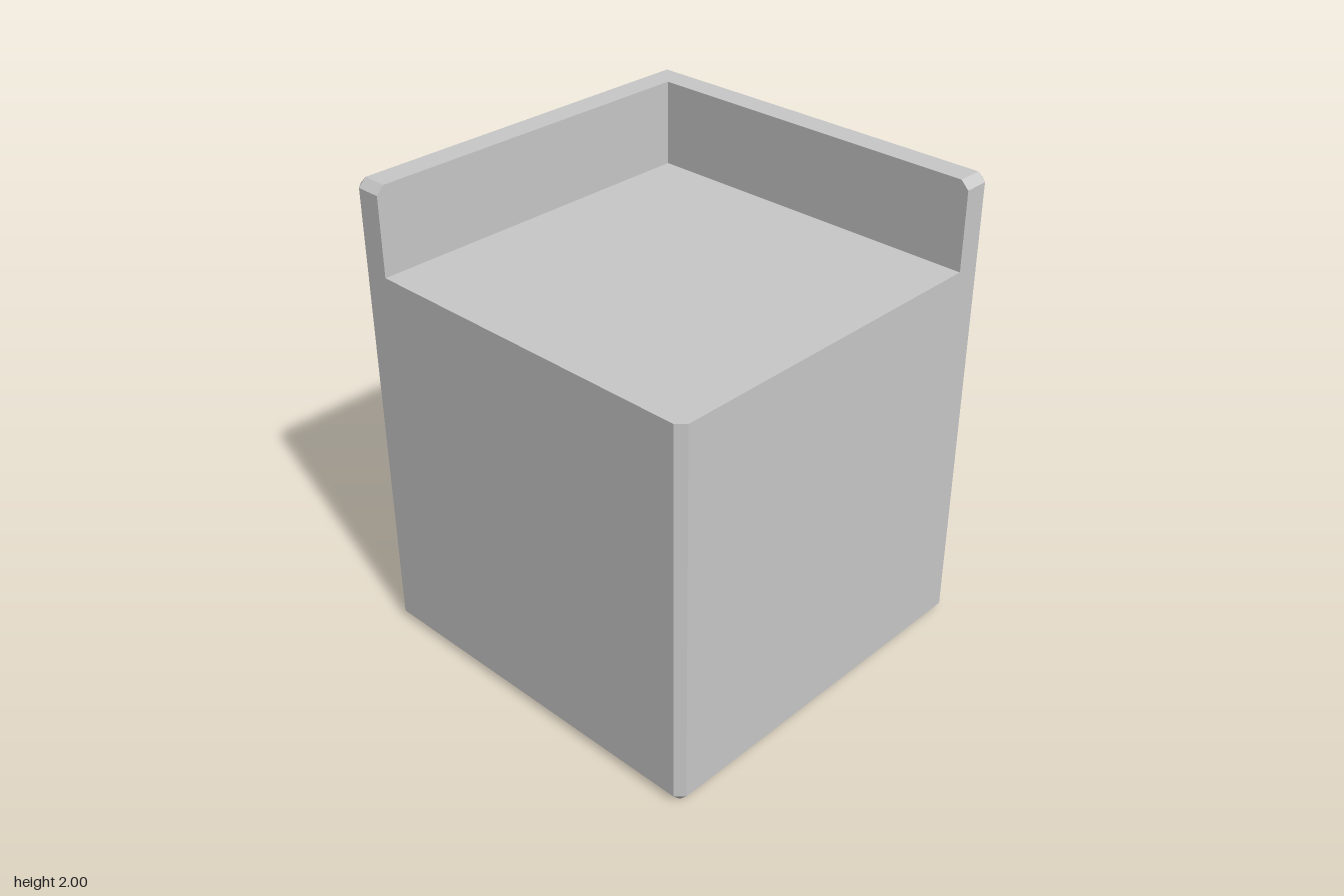
import * as THREE from 'three';

const H = 0.818;        // half width
const C = 0.033;        // chamfer
const I = H - C;
const W = -0.68;        // inner face of both walls
const LEDGE = 1.64, TOP = 2;

// Outlines as [x, z], counter-clockwise seen from above
const blockOutline = [[-I, H], [I, H], [H, I], [H, -I], [I, -H], [-I, -H], [-H, -I], [-H, I]];
const wallOutline = [[-I, H], [W, H], [W, W], [H, W], [H, -I], [I, -H], [-I, -H], [-H, -I], [-H, I]];
const ledgeOutline = [[W, H], [I, H], [H, I], [H, W], [W, W]];

// Chamfered ring: pull every point inside the inset square
const inset = (ring) => ring.map((p) => p.map((v) => THREE.MathUtils.clamp(v, -I, I)));

function addSides(out, lower, y0, upper, y1) {
  const n = lower.length;
  for (let i = 0; i < n; i++) {
    const j = (i + 1) % n;
    const a = [lower[i][0], y0, lower[i][1]], b = [lower[j][0], y0, lower[j][1]];
    const c = [upper[j][0], y1, upper[j][1]], d = [upper[i][0], y1, upper[i][1]];
    const same = (p, q) => p.every((v, k) => v === q[k]);
    if (!same(a, b)) out.push(...a, ...b, ...c);
    if (!same(c, d)) out.push(...a, ...c, ...d);
  }
}

function addCap(out, ring, y, up) {
  const pts = ring
    .filter((p, i) => { const q = ring[(i + 1) % ring.length]; return p[0] !== q[0] || p[1] !== q[1]; })
    .map(([x, z]) => new THREE.Vector2(x, -z));
  for (const t of THREE.ShapeUtils.triangulateShape(pts, [])) {
    for (const k of up ? t : [t[0], t[2], t[1]]) out.push(pts[k].x, y, -pts[k].y);
  }
}

function makeMesh(name, positions, material) {
  const geometry = new THREE.BufferGeometry();
  geometry.setAttribute('position', new THREE.Float32BufferAttribute(positions, 3));
  geometry.computeVertexNormals();
  const mesh = new THREE.Mesh(geometry, material);
  mesh.name = name;
  return mesh;
}

export function createModel() {
  const group = new THREE.Group();
  group.name = 'corneredBlock';
  const grey = new THREE.MeshStandardMaterial({ color: 0xc8c8c8 });
  grey.name = 'light grey';

  // Solid block with chamfered base and a flat ledge
  const block = [];
  addCap(block, inset(blockOutline), 0, false);
  addSides(block, inset(blockOutline), 0, blockOutline, C);
  addSides(block, blockOutline, C, blockOutline, LEDGE);
  addCap(block, ledgeOutline, LEDGE, true);
  group.add(makeMesh('block', block, grey));

  // L-shaped wall along the back and one side, chamfered on its outer rim
  const wall = [];
  addSides(wall, wallOutline, LEDGE, wallOutline, TOP - C);
  addSides(wall, wallOutline, TOP - C, inset(wallOutline), TOP);
  addCap(wall, inset(wallOutline), TOP, true);
  group.add(makeMesh('cornerWall', wall, grey));

  return group;
}
